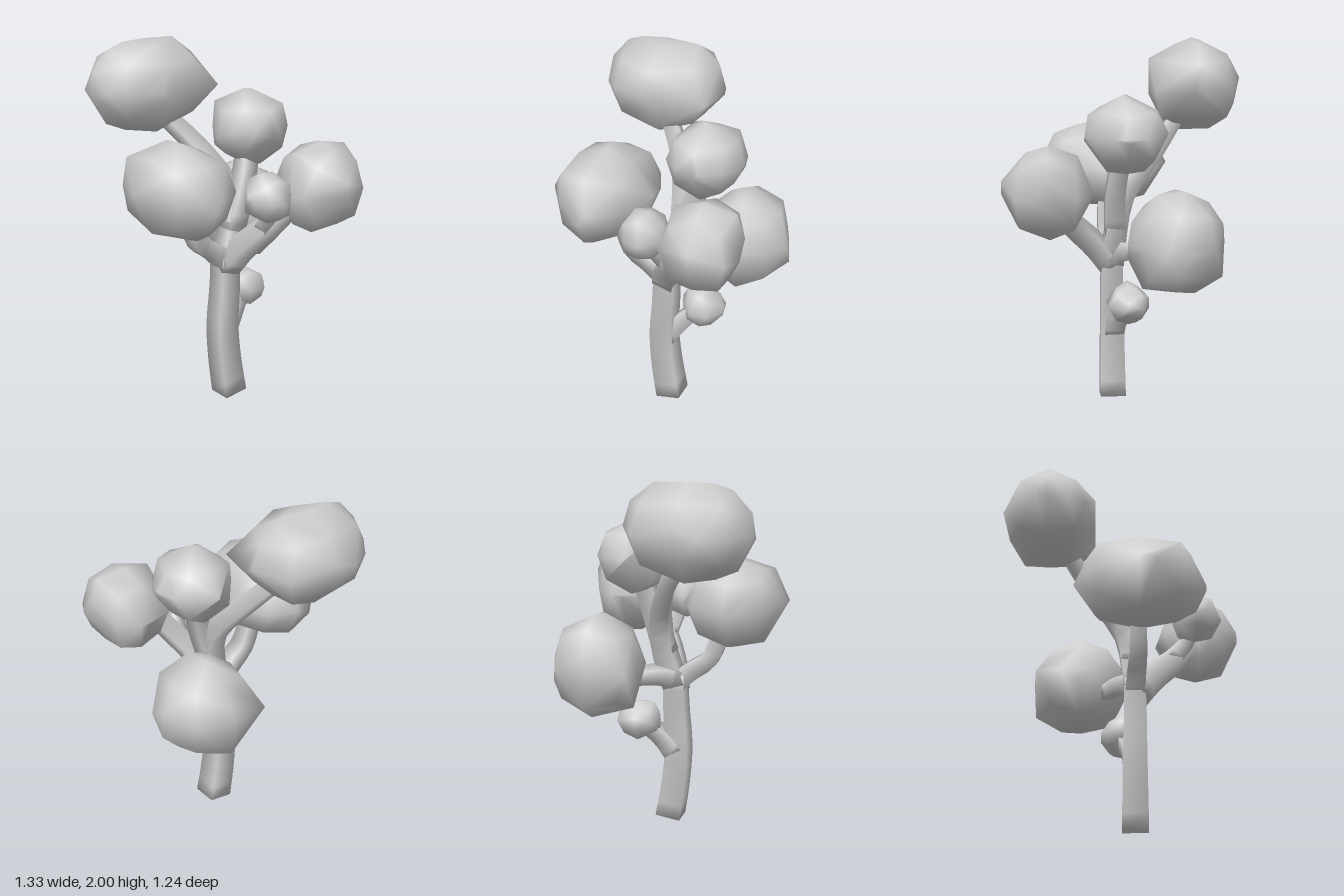
import * as THREE from 'three';
import { mergeVertices } from 'three/addons/utils/BufferGeometryUtils.js';
import { ConvexGeometry } from 'three/addons/geometries/ConvexGeometry.js';

const material = new THREE.MeshStandardMaterial({ color: 0xcccccc });

function addSmooth(parent, name, geometry) {
  geometry.computeVertexNormals();
  const mesh = new THREE.Mesh(geometry, material);
  mesh.name = name;
  parent.add(mesh);
}

// Foliage clump: hull of three crossed outlines, front (x, y), side (z, y) and top (x, z),
// rounded out by one point in each octant
function addClump(parent, name, front, side, top) {
  const points = [];
  const range = (list, k) => {
    const values = list.filter((_, i) => i % 2 === k);
    return [Math.min(...values), Math.max(...values)];
  };
  const box = [range(front, 0), range(front, 1), range(side, 0)];
  const [cx, cy, cz] = box.map(([a, b]) => (a + b) / 2);
  const [hx, hy, hz] = box.map(([a, b]) => (b - a) / 2 * 0.61);
  const ring = (list, place) => {
    for (let i = 0; i < list.length; i += 2) points.push(new THREE.Vector3(...place(list[i], list[i + 1])));
  };
  ring(front, (x, y) => [x, y, cz]);
  ring(side, (z, y) => [cx, y, z]);
  ring(top, (x, z) => [x, cy, z]);
  for (const sx of [-1, 1]) for (const sy of [-1, 1]) for (const sz of [-1, 1]) {
    points.push(new THREE.Vector3(cx + sx * hx, cy + sy * hy, cz + sz * hz));
  }
  const hull = new ConvexGeometry(points);
  hull.deleteAttribute('normal');
  addSmooth(parent, name, mergeVertices(hull, 1e-4));
}

// Square-section limb swept along a smooth path, half width going from w0 to w1
function addLimb(parent, name, path, w0, w1) {
  const curve = new THREE.CatmullRomCurve3(path.map(a => new THREE.Vector3(...a)));
  const n = path.length * 2;
  const positions = [], index = [];
  const u = new THREE.Vector3(1, 0, 0), w = new THREE.Vector3();
  for (let i = 0; i <= n; i++) {
    const c = curve.getPointAt(i / n), t = curve.getTangentAt(i / n);
    u.addScaledVector(t, -u.dot(t)).normalize();
    w.crossVectors(t, u);
    const r = w0 + (w1 - w0) * i / n;
    for (const [a, b] of [[1, 1], [-1, 1], [-1, -1], [1, -1]]) {
      positions.push(...c.clone().addScaledVector(u, a * r).addScaledVector(w, b * r).toArray());
    }
    for (let j = 0; j < 4 && i < n; j++) {
      const p = i * 4 + j, q = i * 4 + (j + 1) % 4;
      index.push(p, q, q + 4, p, q + 4, p + 4);
    }
  }
  const e = n * 4;
  index.push(0, 2, 1, 0, 3, 2, e, e + 1, e + 2, e, e + 2, e + 3);
  const g = new THREE.BufferGeometry();
  g.setAttribute('position', new THREE.Float32BufferAttribute(positions, 3));
  g.setIndex(index);
  addSmooth(parent, name, g);
}

export function createModel() {
  const tree = new THREE.Group();
  tree.name = 'tree';

  // Trunk and branches
  addLimb(tree, 'trunk', [[0.06, 0.012, -0.03], [0.06, 0.2, 0], [0.06, 0.42, 0.019], [0.062, 0.65, 0.005], [0.06, 0.86, 0]], 0.071, 0.058);
  addLimb(tree, 'frontBranch', [[0.06, 0.8, 0], [0.07, 0.88, 0.09], [0.08, 0.95, 0.19], [0.08, 1.06, 0.24], [0.08, 1.2, 0.28]], 0.055, 0.04);
  addLimb(tree, 'leftBranch', [[0.07, 0.78, 0], [0.17, 0.91, -0.04], [0.28, 1.03, -0.11], [0.35, 1.14, -0.19], [0.4, 1.26, -0.32]], 0.06, 0.045);
  addLimb(tree, 'leftTwig', [[0.28, 1.03, -0.1], [0.36, 1.13, -0.07], [0.41, 1.24, -0.03]], 0.04, 0.03);
  addLimb(tree, 'mainBranch', [[0.06, 0.8, 0], [0.04, 1.0, -0.06], [0, 1.18, -0.07], [-0.17, 1.4, 0.01], [-0.34, 1.62, 0.17]], 0.062, 0.038);
  addLimb(tree, 'topTwig', [[0.045, 0.98, -0.05], [0.05, 1.2, -0.12], [0.01, 1.48, -0.2]], 0.058, 0.045);
  addLimb(tree, 'rightStub', [[0.06, 0.84, 0], [-0.02, 0.87, -0.09], [-0.11, 0.87, -0.2]], 0.055, 0.038);
  addLimb(tree, 'lowTwig', [[0.05, 0.4, 0], [0.035, 0.48, -0.06], [-0.01, 0.58, -0.16]], 0.055, 0.04);

  // Foliage clumps
  addClump(tree, 'topRightFoliage',
    [-0.44, 2, -0.31, 1.98, -0.16, 1.9, -0.16, 1.7, -0.24, 1.54, -0.31, 1.5, -0.5, 1.5, -0.64, 1.64, -0.67, 1.79, -0.6, 1.92],
    [0.43, 1.97, 0.34, 2, 0.02, 2, -0.11, 1.9, -0.15, 1.77, -0.02, 1.59, 0.14, 1.51, 0.34, 1.51, 0.46, 1.56, 0.55, 1.73, 0.53, 1.86],
    [-0.6, -0.06, -0.37, -0.16, -0.17, -0.12, -0.17, 0.25, -0.21, 0.43, -0.3, 0.51, -0.48, 0.55, -0.61, 0.44, -0.67, 0.32]);
  addClump(tree, 'frontFoliage',
    [0.01, 1.54, 0.24, 1.51, 0.37, 1.46, 0.45, 1.24, 0.39, 1.11, 0.28, 1.05, 0.02, 1.05, -0.15, 1.09, -0.27, 1.28, -0.2, 1.44],
    [0.33, 1.54, 0.19, 1.48, 0.07, 1.3, 0.12, 1.13, 0.25, 1.06, 0.35, 1.04, 0.5, 1.07, 0.62, 1.31, 0.51, 1.48],
    [-0.02, 0.07, 0.11, 0.08, 0.33, 0.13, 0.45, 0.31, 0.34, 0.51, 0.18, 0.62, -0.13, 0.54, -0.22, 0.43, -0.27, 0.3, -0.2, 0.15]);
  addClump(tree, 'topFoliage',
    [0.02, 1.75, 0.2, 1.65, 0.22, 1.51, 0.1, 1.34, -0.1, 1.34, -0.23, 1.54, -0.17, 1.67],
    [-0.17, 1.75, -0.38, 1.66, -0.42, 1.53, -0.36, 1.42, -0.27, 1.34, -0.14, 1.35, -0.05, 1.4, 0.01, 1.5, -0.03, 1.64],
    [-0.1, -0.4, 0.02, -0.42, 0.07, -0.42, 0.16, -0.35, 0.22, -0.24, 0.2, -0.1, 0.1, -0.01, -0.1, -0.03, -0.17, -0.12, -0.23, -0.21, -0.18, -0.34]);
  addClump(tree, 'backLeftFoliage',
    [0.4, 1.51, 0.53, 1.48, 0.66, 1.33, 0.58, 1.09, 0.41, 1.01, 0.28, 1.06, 0.19, 1.25, 0.26, 1.46],
    [-0.36, 1.51, -0.53, 1.48, -0.58, 1.36, -0.5, 1.1, -0.31, 1.01, -0.18, 1.08, -0.14, 1.24, -0.2, 1.47],
    [0.5, -0.58, 0.59, -0.53, 0.66, -0.36, 0.54, -0.15, 0.38, -0.15, 0.22, -0.21, 0.18, -0.42, 0.27, -0.52]);
  addClump(tree, 'smallLeftFoliage',
    [0.4, 1.39, 0.5, 1.36, 0.55, 1.24, 0.5, 1.15, 0.4, 1.11, 0.3, 1.14, 0.26, 1.26, 0.31, 1.36],
    [0.03, 1.39, -0.05, 1.39, -0.13, 1.33, -0.15, 1.21, -0.1, 1.15, -0.02, 1.11, 0.08, 1.17, 0.11, 1.28],
    [0.36, -0.15, 0.44, -0.15, 0.55, -0.05, 0.53, 0.04, 0.46, 0.11, 0.38, 0.11, 0.28, 0.02, 0.27, -0.06]);
  addClump(tree, 'backRightFoliage',
    [-0.3, 1.26, -0.15, 1.24, -0.02, 1.1, 0, 0.9, -0.08, 0.73, -0.36, 0.7, -0.51, 0.79, -0.51, 1.08, -0.43, 1.2],
    [-0.3, 1.26, -0.55, 1.16, -0.6, 1.01, -0.61, 0.86, -0.5, 0.75, -0.33, 0.7, -0.15, 0.74, -0.1, 0.93, -0.16, 1.15],
    [-0.18, -0.62, -0.08, -0.53, 0, -0.36, -0.04, -0.18, -0.18, -0.1, -0.36, -0.1, -0.5, -0.12, -0.52, -0.33, -0.45, -0.53, -0.32, -0.58]);
  addClump(tree, 'lowFoliage',
    [-0.05, 0.71, 0.05, 0.69, 0.1, 0.6, 0.05, 0.5, -0.06, 0.49, -0.13, 0.57, -0.13, 0.63],
    [-0.1, 0.705, -0.2, 0.71, -0.31, 0.63, -0.31, 0.57, -0.19, 0.48, -0.07, 0.55, -0.07, 0.65],
    [0, -0.07, 0.1, -0.15, 0.1, -0.25, 0, -0.32, -0.09, -0.3, -0.13, -0.2, -0.09, -0.1]);
  return tree;
}
